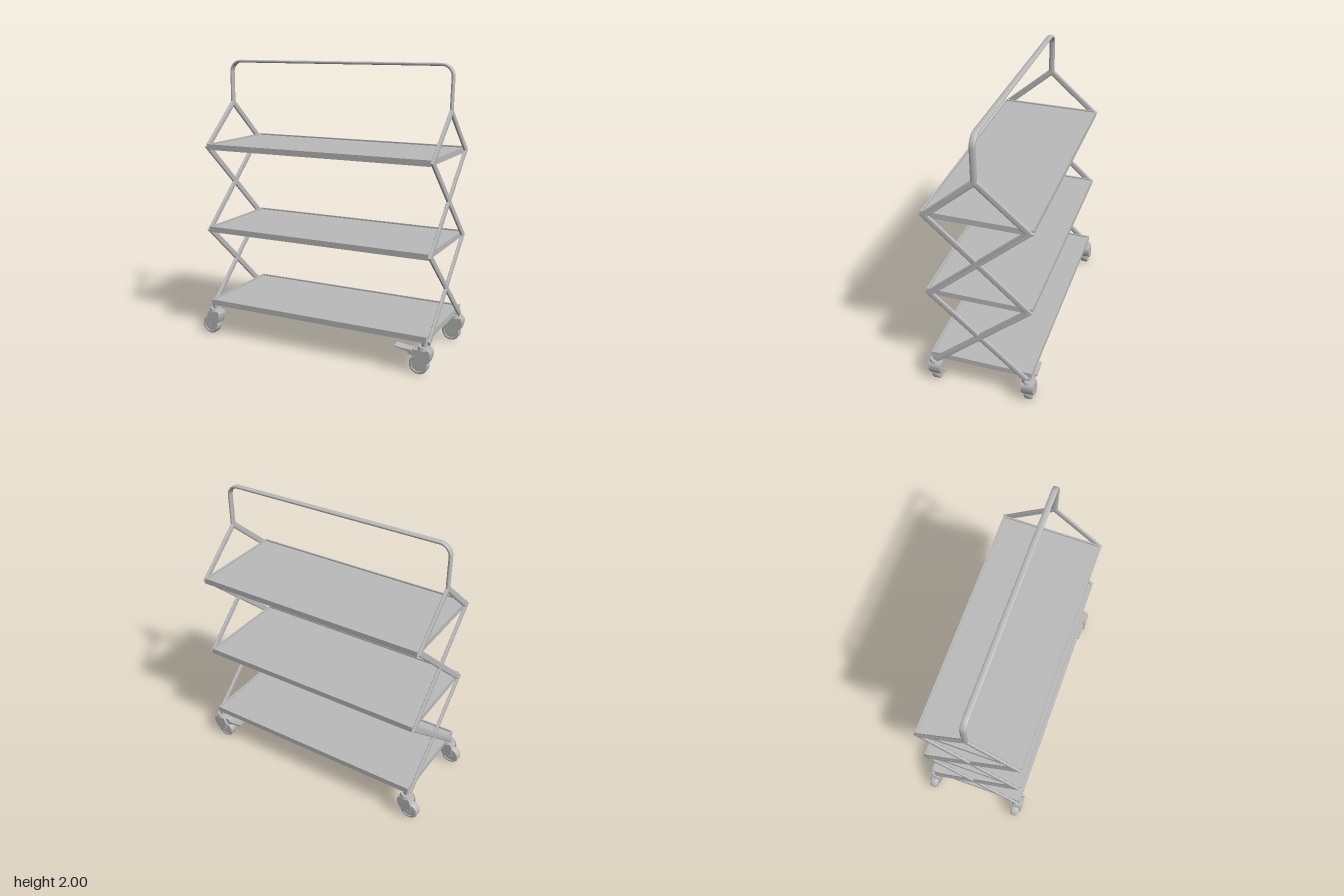
import * as THREE from 'three';
import { toCreasedNormals } from 'three/addons/utils/BufferGeometryUtils.js';

const metal = new THREE.MeshStandardMaterial({ color: 0xbbbbbb });
metal.name = 'grey metal';

const LEFT_X = 0.863, RIGHT_X = -0.824, CENTRE_X = 0.02;

function addMesh(parent, name, geometry, x = 0, y = 0, z = 0) {
  const mesh = new THREE.Mesh(geometry, metal);
  mesh.name = name;
  mesh.position.set(x, y, z);
  parent.add(mesh);
  return mesh;
}

// Flat-oval tube swept along a path in the xy plane, with mitred corners.
// a = half width in the plane, b = half width along z.
function ovalTube(path, a, b, sides = 16) {
  const pos = [], index = [];
  const soft = (v) => Math.sign(v) * Math.abs(v) ** 0.7;
  path.forEach((p, i) => {
    const before = p.clone().sub(path[Math.max(i - 1, 0)]).normalize();
    const after = path[Math.min(i + 1, path.length - 1)].clone().sub(p).normalize();
    const t = before.clone().add(after).normalize();
    const mitre = 1 / t.dot(after.lengthSq() ? after : before);
    for (let j = 0; j < sides; j++) {
      const angle = (j / sides) * Math.PI * 2;
      const u = soft(Math.cos(angle)) * a * mitre;
      pos.push(p.x - t.y * u, p.y + t.x * u, soft(Math.sin(angle)) * b);
    }
  });
  for (let i = 0; i < path.length - 1; i++) {
    for (let j = 0; j < sides; j++) {
      const k = (j + 1) % sides;
      const p = i * sides + j, q = i * sides + k;
      index.push(p, q, q + sides, p, q + sides, p + sides);
    }
  }
  // end caps
  const last = (path.length - 1) * sides;
  for (let j = 1; j < sides - 1; j++) {
    index.push(0, j + 1, j, last, last + j, last + j + 1);
  }
  const g = new THREE.BufferGeometry();
  g.setAttribute('position', new THREE.Float32BufferAttribute(pos, 3));
  g.setIndex(index);
  return toCreasedNormals(g, 0.6);
}

// Profile in xy extruded symmetrically about z = 0
function slab(shape, width) {
  const g = new THREE.ExtrudeGeometry(shape, { depth: width, bevelEnabled: false, curveSegments: 10 });
  g.translate(0, 0, -width / 2);
  return toCreasedNormals(g, 0.6);
}

// Cylinder lying along z
function axleCylinder(radius, length) {
  return new THREE.CylinderGeometry(radius, radius, length, 20).rotateX(Math.PI / 2);
}

function createHandle() {
  const path = [new THREE.Vector2(RIGHT_X, 1.68)];
  const r = 0.075, top = 1.99;
  for (const [cx, start] of [[RIGHT_X + r, Math.PI], [LEFT_X + 0.005 - r, Math.PI / 2]]) {
    for (let i = 0; i <= 8; i++) {
      const angle = start - (i / 8) * Math.PI / 2;
      path.push(new THREE.Vector2(cx + r * Math.cos(angle), top - r + r * Math.sin(angle)));
    }
  }
  path.push(new THREE.Vector2(LEFT_X, 1.68));
  return ovalTube(path, 0.01, 0.021);
}

// Zigzag brace: apex, out to the top shelf, across to the middle, across to the base
function createBrace(side) {
  const points = [[0, 1.69], [0.335, 1.4], [-0.335, 0.795], [0.325, 0.21]];
  const path = points.map(([z, y]) => new THREE.Vector2(z * side, y));
  return ovalTube(path, 0.022, 0.01).rotateY(-Math.PI / 2);
}

// Tray with a shallow raised lip
function createShelf() {
  const shelf = new THREE.Group();
  const width = 1.673, depth = 0.72, lip = 0.012;
  addMesh(shelf, 'shelfPanel', new THREE.BoxGeometry(width, 0.03, depth), 0, -0.005, 0);
  for (const s of [-1, 1]) {
    addMesh(shelf, 'longLip', new THREE.BoxGeometry(width, 0.01, lip), 0, 0.015, s * (depth - lip) / 2);
    addMesh(shelf, 'shortLip', new THREE.BoxGeometry(lip, 0.01, depth - 2 * lip), s * (width - lip) / 2, 0.015, 0);
  }
  return shelf;
}

function createCaster(braked) {
  const caster = new THREE.Group();
  const axleX = -0.035, axleY = 0.066;

  // swivel stem and bearing
  addMesh(caster, 'stem', new THREE.CylinderGeometry(0.02, 0.02, 0.05, 20), 0, 0.205, 0);
  addMesh(caster, 'swivelBearing', new THREE.CylinderGeometry(0.04, 0.047, 0.022, 24), 0, 0.184, 0);

  // wheel with rounded tread
  const profile = [[0.012, -0.022], [0.045, -0.022], [0.048, -0.028], [0.06, -0.027], [0.066, -0.018],
    [0.066, 0.018], [0.06, 0.027], [0.048, 0.028], [0.045, 0.022], [0.012, 0.022]];
  const wheel = new THREE.LatheGeometry(profile.map(([r, y]) => new THREE.Vector2(r, y)), 32);
  addMesh(caster, 'wheel', toCreasedNormals(wheel.rotateX(Math.PI / 2), 0.6), axleX, axleY, 0);
  addMesh(caster, 'axle', axleCylinder(0.012, 0.09), axleX, axleY, 0);

  // fork cheeks either side of the wheel
  const cheek = new THREE.Shape();
  cheek.moveTo(-0.035, 0.178);
  cheek.quadraticCurveTo(-0.058, 0.15, -0.058, 0.066);
  cheek.quadraticCurveTo(-0.052, 0.046, -0.03, 0.045);
  cheek.quadraticCurveTo(0.045, 0.075, 0.05, 0.14);
  cheek.quadraticCurveTo(0.052, 0.165, 0.04, 0.178);
  for (const s of [-1, 1]) {
    addMesh(caster, 'forkCheek', slab(cheek, 0.008), 0, 0, s * 0.038);
  }

  // hood bridging the cheeks over the wheel
  const hood = new THREE.Shape();
  hood.moveTo(-0.035, 0.178);
  hood.lineTo(-0.05, 0.136);
  hood.lineTo(-0.02, 0.136);
  hood.quadraticCurveTo(0.02, 0.125, 0.036, 0.09);
  hood.quadraticCurveTo(0.05, 0.12, 0.05, 0.145);
  hood.quadraticCurveTo(0.052, 0.165, 0.04, 0.178);
  addMesh(caster, 'forkHood', slab(hood, 0.07));

  if (braked) {
    const lever = new THREE.Shape();
    lever.moveTo(-0.04, 0.165);
    lever.lineTo(-0.09, 0.165);
    lever.quadraticCurveTo(-0.12, 0.15, -0.115, 0.135);
    lever.lineTo(-0.07, 0.118);
    lever.lineTo(-0.04, 0.14);
    addMesh(caster, 'brakeLever', slab(lever, 0.04));
    const pedal = new THREE.Shape();
    pedal.moveTo(-0.08, 0.167);
    pedal.quadraticCurveTo(-0.14, 0.165, -0.2, 0.178);
    pedal.lineTo(-0.2, 0.172);
    pedal.quadraticCurveTo(-0.14, 0.152, -0.08, 0.152);
    addMesh(caster, 'brakePedal', slab(pedal, 0.07));
  }
  return caster;
}

export function createModel() {
  const model = new THREE.Group();
  model.name = 'shelfTrolley';

  addMesh(model, 'handle', createHandle());

  // crossing braces at both ends
  for (const [x, end] of [[LEFT_X, 'left'], [RIGHT_X, 'right']]) {
    addMesh(model, end + 'FrontBrace', createBrace(1), x);
    addMesh(model, end + 'BackBrace', createBrace(-1), x);
  }

  // three shelves
  [['bottomShelf', 0.245], ['middleShelf', 0.8], ['topShelf', 1.4]].forEach(([name, y]) => {
    const shelf = createShelf();
    shelf.name = name;
    shelf.position.set(CENTRE_X, y, 0);
    model.add(shelf);
  });

  // casters, the left pair with brakes
  for (const z of [-0.335, 0.335]) {
    for (const [x, braked] of [[-0.8, false], [0.84, true]]) {
      const caster = createCaster(braked);
      caster.name = braked ? 'brakedCaster' : 'plainCaster';
      caster.position.set(x, 0, z);
      model.add(caster);
    }
  }
  return model;
}
